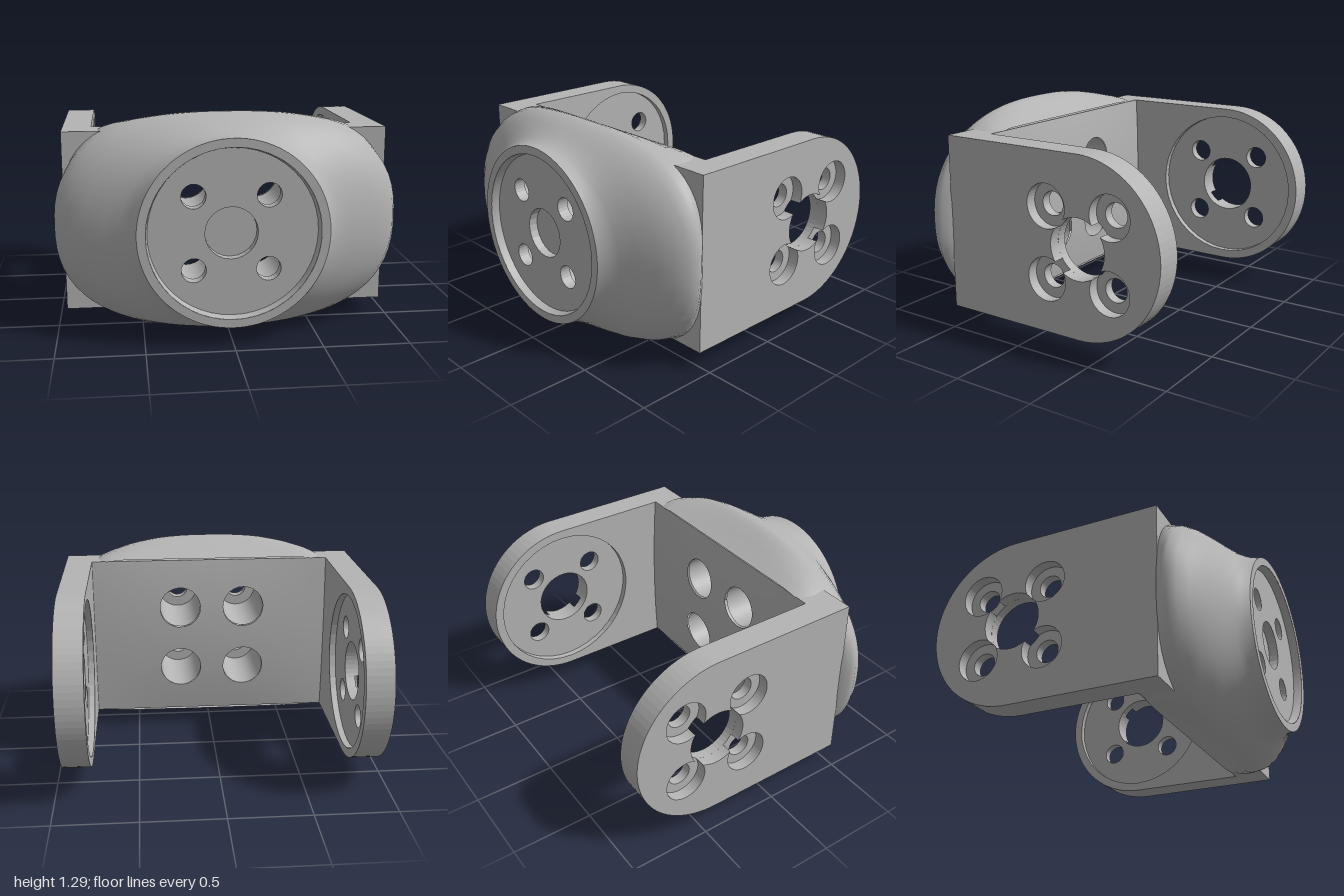
import * as THREE from 'three';
import { mergeGeometries, mergeVertices } from 'three/addons/utils/BufferGeometryUtils.js';

const MID_Y = 0.652;      // height of the symmetry plane
const HALF_H = 0.53;      // half height of arms and back wall
const BOLT = 0.212;       // bolt offset from each hub centre
const SIGNS = [[1, 1], [-1, 1], [-1, -1], [1, -1]];

// Closed loops of points joined into one smooth skin
function loft(rows) {
  const n = rows[0].length, index = [];
  for (let j = 0; j < rows.length - 1; j++) {
    for (let i = 0; i < n; i++) {
      const a = j * n + i, b = j * n + (i + 1) % n;
      index.push(a, b, a + n, b, b + n, a + n);
    }
  }
  const g = new THREE.BufferGeometry();
  g.setAttribute('position', new THREE.Float32BufferAttribute(rows.flat(2), 3));
  g.setIndex(index);
  g.computeVertexNormals();
  return g;
}

function loop(n, fn) {
  return Array.from({ length: n }, (_, i) => fn((i / n) * Math.PI * 2));
}

// Band between two circles on the z axis
function band(r0, z0, r1, z1, cx = 0, cy = 0, n = 32) {
  return loft([[r0, z0], [r1, z1]].map(([r, z]) =>
    loop(n, t => [cx + r * Math.cos(t), cy + r * Math.sin(t), z])));
}

function circle(x, y, r) {
  return new THREE.Path().absarc(x, y, r, 0, Math.PI * 2, false);
}

function boltHoles(cx, r) {
  return SIGNS.map(([sx, sy]) => circle(cx + sx * BOLT, sy * BOLT, r));
}

// Centre bore merged with the four counterbores that cut into it
function cloverHole(cx, R, r) {
  const d = BOLT * Math.SQRT2;
  const a = Math.acos((d * d + R * R - r * r) / (2 * d * R));
  const b = Math.acos((d * d + r * r - R * R) / (2 * d * r));
  const p = new THREE.Path();
  for (let k = 0; k < 4; k++) {
    const t = Math.PI / 4 + k * Math.PI / 2;
    p.absarc(cx, 0, R, t - Math.PI / 2 + a, t - a, false);
    p.absarc(cx + d * Math.cos(t), d * Math.sin(t), r, t - Math.PI + b, t + Math.PI - b, false);
  }
  return p;
}

// Arm with a round end: recessed inner layer, web, counterbored outer layer
function makeArm(material) {
  const hub = 0.395;
  const layers = [
    ['armInnerRim', 0.78, 0.82, [circle(hub, 0, 0.475)]],
    ['armWeb', 0.82, 0.88, [circle(hub, 0, 0.18), ...boltHoles(hub, 0.07)]],
    ['armOuterPlate', 0.88, 0.948, [cloverHole(hub, 0.18, 0.13)]],
  ];
  const arm = new THREE.Group();
  for (const [name, x0, x1, holes] of layers) {
    const s = new THREE.Shape();
    s.moveTo(-0.53, -HALF_H);
    s.lineTo(hub, -HALF_H);
    s.absarc(hub, 0, HALF_H, -Math.PI / 2, Math.PI / 2, false);
    s.lineTo(-0.53, HALF_H);
    s.closePath();
    s.holes = holes;
    const g = new THREE.ExtrudeGeometry(s, { depth: x1 - x0, bevelEnabled: false, curveSegments: 20 });
    g.rotateY(Math.PI / 2).translate(x0, 0, 0);
    const m = new THREE.Mesh(g, material);
    m.name = name;
    arm.add(m);
  }
  return arm;
}

// Gently bulged back wall, one ring-shaped patch around each bore
function makeBackWall(boreX, boreR) {
  const W = 0.78, K = 10;
  const patches = SIGNS.map(([sx, sy]) => {
    const x0 = sx > 0 ? 0 : -W, y0 = sy > 0 ? 0 : -HALF_H;
    const corners = [[x0, y0], [x0 + W, y0], [x0 + W, y0 + HALF_H], [x0, y0 + HALF_H]];
    const edge = [];
    corners.forEach((c, i) => {
      const e = corners[(i + 1) % 4];
      for (let k = 0; k < K; k++) edge.push([c[0] + (e[0] - c[0]) * k / K, c[1] + (e[1] - c[1]) * k / K]);
    });
    const cx = boreX + sx * BOLT, cy = sy * BOLT, rows = [];
    for (let j = 0; j <= 5; j++) {
      rows.push(edge.map(([ex, ey]) => {
        const t = Math.atan2(ey - cy, ex - cx), f = j / 5;
        const x = (cx + boreR * Math.cos(t)) * (1 - f) + ex * f;
        const y = (cy + boreR * Math.sin(t)) * (1 - f) + ey * f;
        const bulge = 0.045 * (1 - (y / HALF_H) ** 2) * (1 - 0.6 * (x / W) ** 2);
        return [x, y, 0.34 - bulge];
      }));
    }
    return loft(rows);
  });
  const wall = mergeGeometries(patches);
  wall.deleteAttribute('normal');
  const g = mergeVertices(wall, 1e-4);
  g.computeVertexNormals();
  return g;
}

export function createModel() {
  const grey = new THREE.MeshStandardMaterial({ color: 0xb4b4b4, side: THREE.DoubleSide });
  grey.name = 'grey plastic';
  const model = new THREE.Group();
  model.name = 'servoBracket';
  const body = new THREE.Group();
  body.name = 'body';
  body.position.y = MID_Y;
  model.add(body);
  const add = (name, geometry) => {
    const m = new THREE.Mesh(geometry, grey);
    m.name = name;
    body.add(m);
    return m;
  };

  // Swollen body: z, half width, half height, squareness
  const sections = [
    [0.34, 0.78, 0.54, 12], [0.40, 0.83, 0.565, 8], [0.46, 0.88, 0.595, 5],
    [0.53, 0.955, 0.628, 3.2], [0.57, 0.985, 0.642, 2.7], [0.60, 0.998, 0.645, 2.5],
    [0.65, 0.975, 0.63, 2.35], [0.70, 0.92, 0.605, 2.2], [0.75, 0.84, 0.575, 2.1],
    [0.80, 0.72, 0.553, 2], [0.84, 0.635, 0.543, 2], [0.87, 0.58, 0.54, 2], [0.92, 0.54, 0.54, 2],
  ];
  add('bodyShell', loft(sections.map(([z, a, b, n]) => loop(96, t => {
    const c = Math.cos(t), s = Math.sin(t);
    const r = (Math.abs(c / a) ** n + Math.abs(s / b) ** n) ** (-1 / n);
    return [r * c, r * s, z];
  }))));

  // Flat wall edges above and below
  for (const s of [1, -1]) {
    const slab = add(s > 0 ? 'wallTop' : 'wallBottom', new THREE.BoxGeometry(1.6, 0.1, 0.185));
    slab.position.set(0, s * (HALF_H - 0.05), 0.4375);
  }

  // Front boss: rim, recess wall and drilled plate with a blind centre
  add('bossRim', band(0.54, 0.92, 0.49, 0.92, 0, 0, 96));
  add('bossRecess', band(0.49, 0.92, 0.48, 0.87, 0, 0, 48));
  const face = new THREE.Shape().absarc(0, 0, 0.485, 0, Math.PI * 2, false);
  face.holes = [circle(-0.01, 0, 0.15), ...boltHoles(-0.01, 0.07)];
  add('bossPlate', new THREE.ExtrudeGeometry(face, { depth: 0.07, bevelEnabled: false, curveSegments: 12 }))
    .position.z = 0.8;
  add('bossCentre', new THREE.CircleGeometry(0.155, 24)).position.set(-0.01, 0, 0.815);

  // Back wall and its four deep bores
  add('backWall', makeBackWall(-0.01, 0.135));
  for (const [sx, sy] of SIGNS) {
    add('bore', band(0.135, 0.8, 0.135, 0.315, -0.01 + sx * BOLT, sy * BOLT));
  }

  // Mirrored arms
  for (const side of ['left', 'right']) {
    const arm = makeArm(grey);
    arm.name = side + 'Arm';
    if (side === 'right') arm.rotation.z = Math.PI;
    body.add(arm);
  }
  return model;
}
